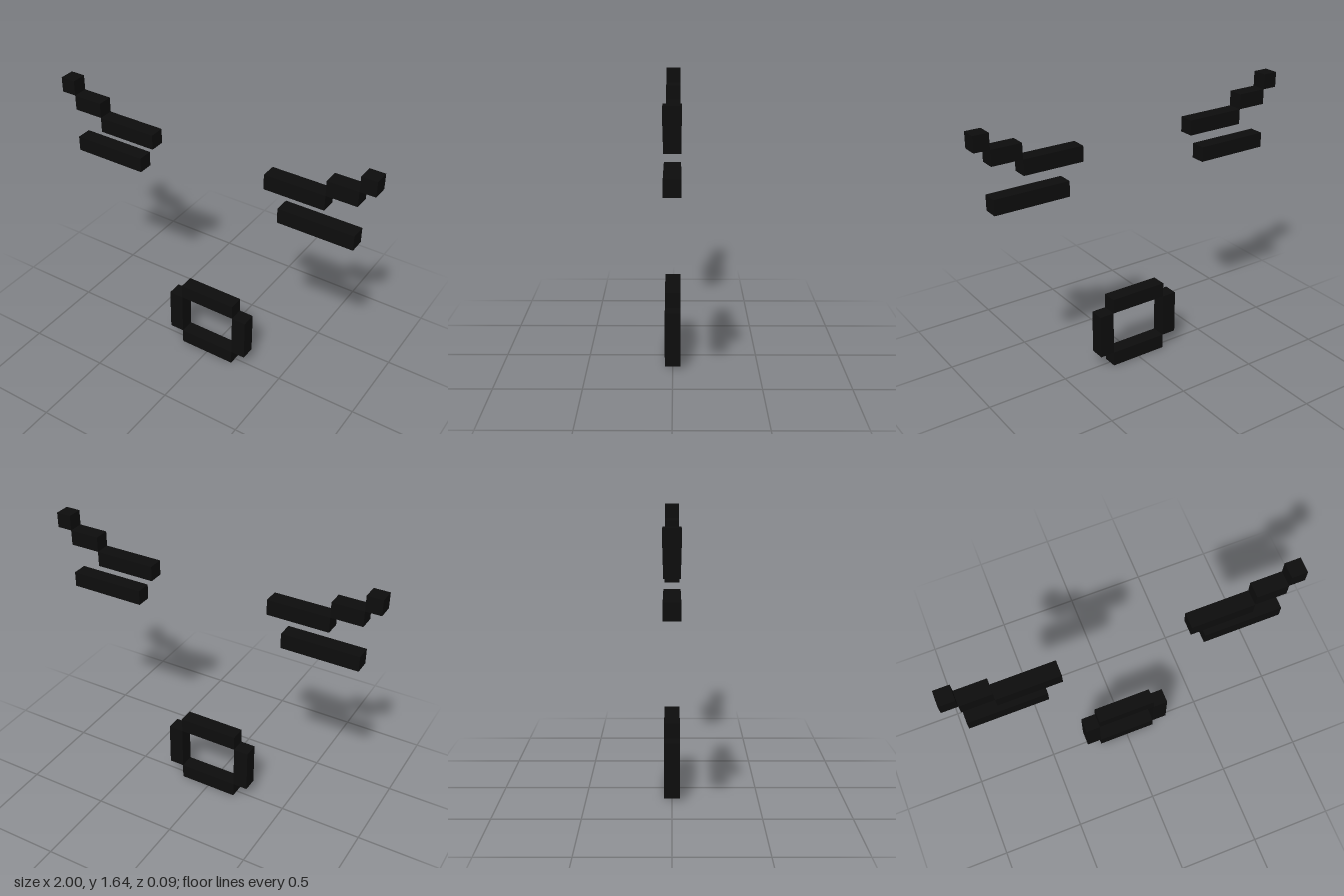
import * as THREE from 'three';

export function createModel() {
  const U = 1 / 11; // one block of the pixel grid
  const black = new THREE.MeshStandardMaterial({ color: 0x0d0d0d });
  black.name = 'black';

  // Bar one block deep, spanning x0..x1 and y0..y1 in blocks
  const bar = (name, x0, x1, y0, y1) => {
    const mesh = new THREE.Mesh(
      new THREE.BoxGeometry((x1 - x0) * U, (y1 - y0) * U, U), black);
    mesh.position.set((x0 + x1) / 2 * U, (y0 + y1) / 2 * U, 0);
    mesh.name = name;
    return mesh;
  };

  const model = new THREE.Group();
  model.name = 'face';

  // Stepped eyebrow and flat eye on each side
  for (const [side, s] of [['left', 1], ['right', -1]]) {
    const sideBar = (name, a, b, y) =>
      bar(name, Math.min(s * a, s * b), Math.max(s * a, s * b), y, y + 1);
    const brow = new THREE.Group();
    brow.name = side + 'Eyebrow';
    brow.add(
      sideBar('browInner', 4, 8, 15),
      sideBar('browMiddle', 8, 10, 16),
      sideBar('browTip', 10, 11, 17));
    model.add(brow, sideBar(side + 'Eye', 5, 10, 13));
  }

  // Open mouth ring
  const mouth = new THREE.Group();
  mouth.name = 'mouth';
  mouth.add(
    bar('lowerLip', -2, 2, 0, 1),
    bar('upperLip', -2, 2, 4, 5),
    bar('leftMouthCorner', 2, 3, 1, 4),
    bar('rightMouthCorner', -3, -2, 1, 4));
  model.add(mouth);

  return model;
}
